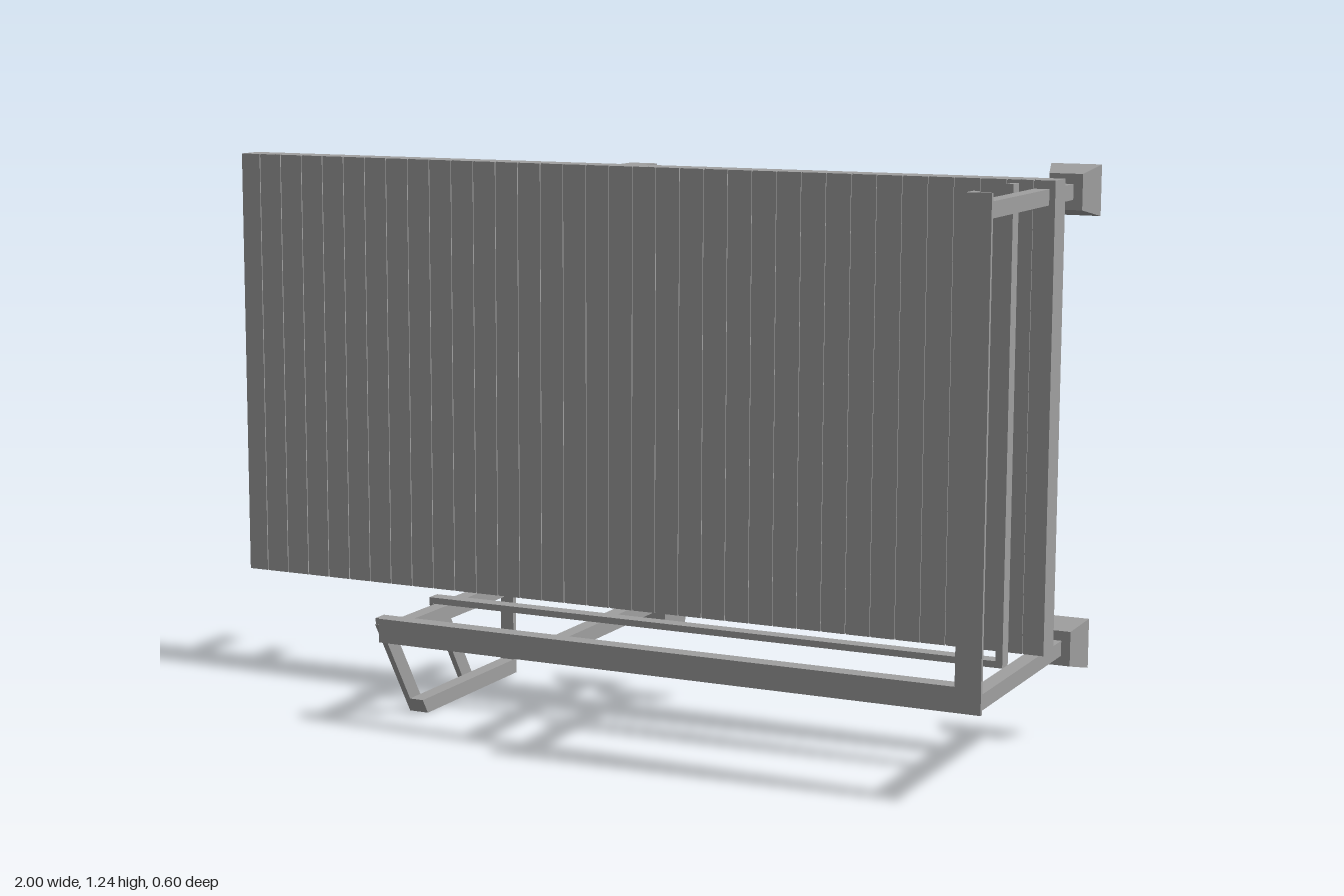
import * as THREE from 'three';

export function createModel() {
  const model = new THREE.Group();
  const steel = new THREE.MeshStandardMaterial({ color: 0xa0a0a0 });
  steel.name = 'plain grey';

  function add(name, geometry) {
    const mesh = new THREE.Mesh(geometry, steel);
    mesh.name = name;
    model.add(mesh);
    return mesh;
  }
  // box given by its limits along each axis
  function bar(name, x0, x1, y0, y1, z0, z1) {
    const mesh = add(name, new THREE.BoxGeometry(x1 - x0, y1 - y0, z1 - z0));
    mesh.position.set((x0 + x1) / 2, (y0 + y1) / 2, (z0 + z1) / 2);
    return mesh;
  }
  // flat plate drawn in x, y and extruded in z
  function plate(name, points, z, depth) {
    const shape = new THREE.Shape(points.map(([x, y]) => new THREE.Vector2(x, y)));
    const mesh = add(name, new THREE.ExtrudeGeometry(shape, { depth, bevelEnabled: false }));
    mesh.position.z = z;
    return mesh;
  }

  // panel: narrow boards with grooves over a thin core
  const left = -1, right = 0.97, bottom = 0.23, top = 1.218;
  bar('panelCore', left + 0.002, right - 0.002, bottom + 0.002, top - 0.002, -0.079, -0.074);
  const pitch = 0.0568;
  for (let x = left - 0.005; x < right - 0.005; x += pitch) {
    const x0 = Math.max(left, x), x1 = Math.min(right, x + pitch - 0.003);
    bar('panelBoard', x0, x1, bottom, top, -0.081, -0.071);
  }

  // shelf-like rails and end posts behind the boards
  const t = 0.013;
  for (let i = 0; i < 5; i++) {
    const y = bottom + i * (top - bottom - t) / 4;
    bar('panelRail', left, right, y, y + t, -0.137, -0.08);
  }
  bar('panelEndPost', left, left + t, bottom, top, -0.137, -0.08);
  bar('panelEndPost', right - t, right, bottom, top, -0.137, -0.08);
  bar('centrePost', -0.046, 0.017, bottom, top, -0.19, -0.137);

  // stubs projecting to the back
  for (const [x, y, start] of [
    [-0.968, 1.184, -0.13], [-0.968, 0.262, -0.13],
    [-0.016, 1.184, -0.18], [-0.016, 0.67, -0.18],
  ]) bar('rearStub', x - 0.0165, x + 0.0165, y - 0.0165, y + 0.0165, -0.277, start);

  // arms running from front to back
  const arms = [[0.941, 0.211, -0.245], [0.941, 1.184, -0.245], [-0.016, 0.211, -0.245], [-0.4, 0.211, -0.264]];
  for (const [x, y, back] of arms)
    bar('crossArm', x - 0.0165, x + 0.0165, y - 0.0165, y + 0.0165, back, 0.292);

  // flared feet on the back ends of three arms
  for (const [x, y] of arms.slice(0, 3)) {
    const geometry = new THREE.BoxGeometry(0.11, 0.108, 0.07);
    const p = geometry.attributes.position;
    for (let i = 0; i < p.count; i++)
      if (p.getZ(i) > 0) p.setXY(i, p.getX(i) * 0.66, p.getY(i) * 0.7);
    geometry.computeVertexNormals();
    add('flaredFoot', geometry).position.set(x, y, -0.267);
  }

  // long flat rails lying on the lower arms, and uprights beside the end arms
  for (const [z0, z1] of [[0.257, 0.292], [0.025, 0.06]]) {
    bar('longRail', -0.43, 0.925, 0.228, 0.242, z0, z1);
    bar('endUpright', 0.91, 0.925, 0.228, top, z0, z1);
  }

  // mitred front faces of the angle bars
  plate('frontRailFace', [[-0.417, 0.19], [0.963, 0.19], [0.908, 0.243], [-0.417, 0.243]], 0.291, 0.009);
  plate('frontUprightFace', [[0.963, 0.19], [0.963, top], [0.908, top], [0.908, 0.243]], 0.291, 0.009);

  // hanging bracket: bottom bar with slanted nose, back hanger and two braces
  const lower = plate('bracketBar', [[-0.264, 0], [0.15, 0], [0.172, 0.034], [-0.264, 0.034]], 0, 0.033);
  lower.rotation.y = -Math.PI / 2;
  lower.position.set(-0.384, 0, 0);
  bar('bracketHanger', -0.417, -0.384, 0, 0.228, -0.264, -0.25);
  for (const z of [0.15, -0.084]) {
    const brace = plate('bracketBrace', [[z - 0.045, 0], [z, 0], [z + 0.145, 0.228], [z + 0.1, 0.228]], 0, 0.013);
    brace.rotation.y = -Math.PI / 2;
    brace.position.set(-0.417, 0, 0);
  }

  return model;
}
